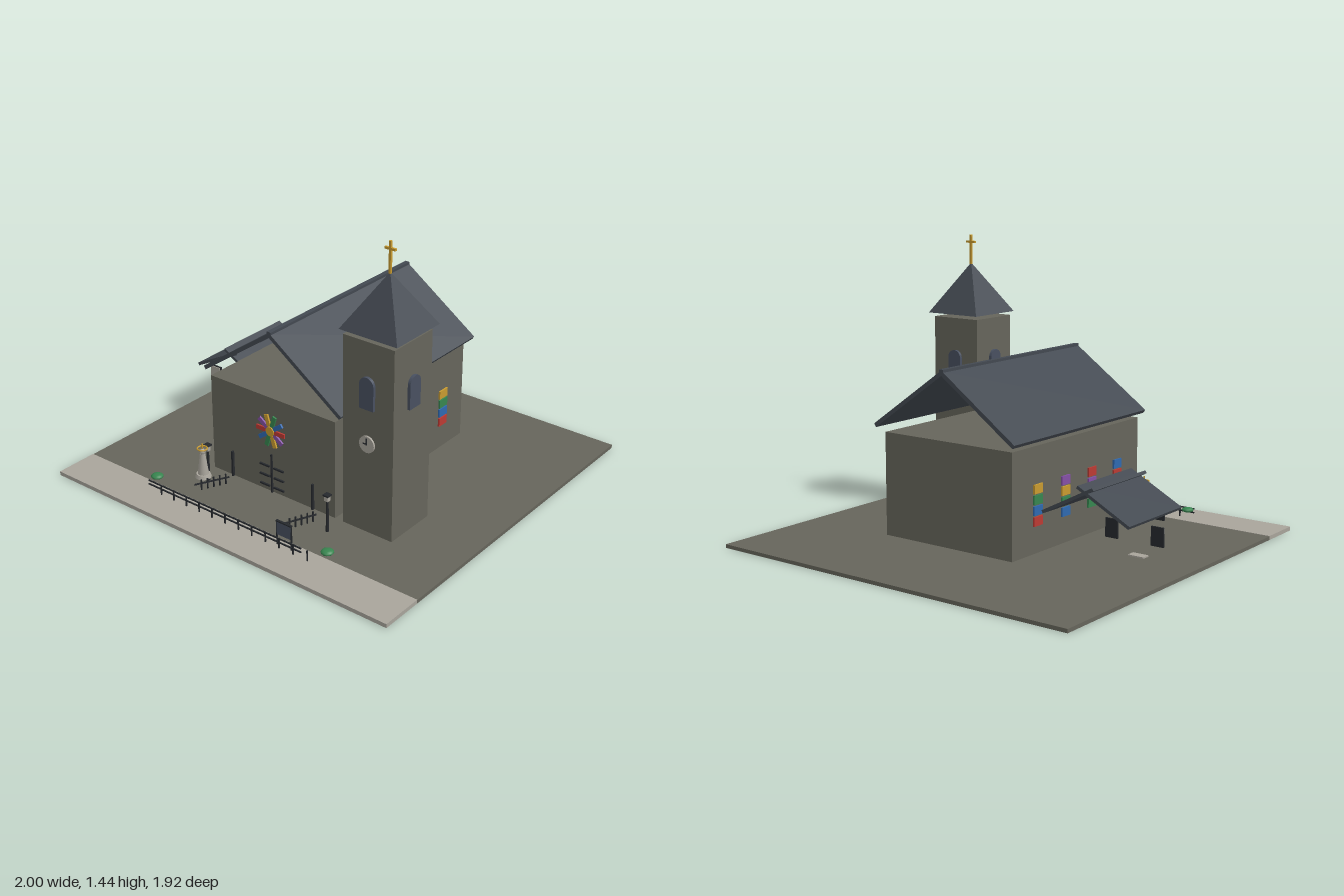
import * as THREE from 'three';

const mat = (name, color) => {
  const m = new THREE.MeshStandardMaterial({ color });
  m.name = name;
  return m;
};

export function createModel() {
  const stone = mat('stone', 0x66655b), slate = mat('slate', 0x434951);
  const pale = mat('paleStone', 0xa8a49b), iron = mat('iron', 0x26292d);
  const glass = mat('darkGlass', 0x485060), gold = mat('gold', 0xc89b30);
  const red = mat('red', 0xbb3a33), purple = mat('purple', 0x844fa5);
  const green = mat('green', 0x37854f), blue = mat('blue', 0x2f69b0);
  const stained = [red, purple, gold, green, blue];

  const model = new THREE.Group();
  const group = (name, x = 0, y = 0, z = 0, parent = model) => {
    const g = new THREE.Group();
    g.name = name;
    g.position.set(x, y, z);
    parent.add(g);
    return g;
  };
  const add = (parent, name, geo, material, x = 0, y = 0, z = 0) => {
    const m = new THREE.Mesh(geo, material);
    m.name = name;
    m.position.set(x, y, z);
    parent.add(m);
    return m;
  };
  const box = (parent, name, material, w, h, d, x, y, z) =>
    add(parent, name, new THREE.BoxGeometry(w, h, d), material, x, y, z);
  // sloping roof slab between two points of the front plane
  const slab = (parent, x0, y0, x1, y1, t, z0, z1) => {
    const len = Math.hypot(x1 - x0, y1 - y0);
    const m = box(parent, 'roofSlab', slate, len, t, z1 - z0, (x0 + x1) / 2, (y0 + y1) / 2, (z0 + z1) / 2);
    m.rotation.z = Math.atan2(y1 - y0, x1 - x0);
  };

  // ground and pavement
  box(model, 'ground', stone, 2, 0.018, 1.7, 0, 0.009, -0.11);
  box(model, 'pavement', pale, 2, 0.02, 0.22, 0, 0.01, 0.85);

  // nave with its roof
  const nave = group('nave');
  box(nave, 'naveWalls', stone, 0.75, 0.5, 1.02, 0, 0.32, 0.005);
  slab(nave, -0.408, 0.603, 0, 0.89, 0.02, -0.54, 0.522);
  slab(nave, 0, 0.89, 0.408, 0.603, 0.02, -0.54, 0.522);
  box(nave, 'ridgeCap', slate, 0.024, 0.024, 1.062, 0, 0.895, -0.009);

  // stained side windows, four panes each
  for (const side of [-1, 1]) {
    for (let i = 0; i < 4; i++) {
      for (let j = 0; j < 4; j++) {
        box(nave, 'stainedPane', stained[(i + j + 4) % 5], 0.009, 0.043, 0.064,
          side * 0.385, 0.374 - j * 0.05, 0.32 - i * 0.215);
      }
    }
  }

  // rose window
  const rose = group('roseWindow', 0, 0.4, 0.524, nave);
  for (let i = 0; i < 10; i++) {
    const a = -i * Math.PI / 5;
    const p = box(rose, 'petal', stained[i % 5], 0.06, 0.022, 0.009, Math.cos(a) * 0.055, Math.sin(a) * 0.055, 0);
    p.rotation.z = a;
  }
  const hub = add(rose, 'roseHub', new THREE.CylinderGeometry(0.024, 0.024, 0.012, 16), gold, 0, 0, 0.002);
  hub.rotation.x = Math.PI / 2;

  // door ironwork
  const door = group('doorIronwork', 0, 0, 0.522, nave);
  box(door, 'doorSeam', iron, 0.007, 0.205, 0.009, 0, 0.172, 0);
  for (const s of [-1, 1]) {
    for (const y of [0.1, 0.152, 0.205]) box(door, 'hingeStrap', iron, 0.06, 0.008, 0.009, s * 0.043, y, 0);
    box(door, 'doorSidePost', iron, 0.01, 0.135, 0.012, s * 0.247, 0.138, 0);
  }

  // bell tower
  const tower = group('bellTower', 0.558, 0, 0.377);
  box(tower, 'towerWalls', stone, 0.277, 0.95, 0.277, 0, 0.545, 0);
  const spire = add(tower, 'spire', new THREE.ConeGeometry(0.221, 0.255, 4).toNonIndexed(), slate, 0, 1.168, -0.01);
  spire.geometry.computeVertexNormals();
  spire.rotation.y = Math.PI / 4;
  box(tower, 'crossUpright', gold, 0.011, 0.15, 0.011, 0, 1.363, -0.01);
  box(tower, 'crossArm', gold, 0.056, 0.011, 0.011, 0, 1.402, -0.01);

  // arched belfry openings on all four sides
  const arch = new THREE.Shape();
  arch.moveTo(-0.039, 0);
  arch.lineTo(0.039, 0);
  arch.lineTo(0.039, 0.117);
  arch.absarc(0, 0.117, 0.039, 0, Math.PI, false);
  const archGeo = new THREE.ExtrudeGeometry(arch, { depth: 0.015, bevelEnabled: false, curveSegments: 8 });
  for (let i = 0; i < 4; i++) {
    const face = group('belfryOpening', 0, 0, 0, tower);
    face.rotation.y = i * Math.PI / 2;
    add(face, 'belfryWindow', archGeo, glass, 0, 0.7, 0.138);
  }

  // clock
  const clock = group('clock', 0, 0.525, 0.143, tower);
  add(clock, 'clockFace', new THREE.CylinderGeometry(0.041, 0.041, 0.009, 24), pale).rotation.x = Math.PI / 2;
  box(clock, 'minuteHand', iron, 0.005, 0.034, 0.004, 0, 0.015, 0.006);
  box(clock, 'hourHand', iron, 0.02, 0.005, 0.004, -0.008, 0.003, 0.006);

  // small house: crossing roof slabs, windows and doorstep
  const house = group('house', -0.675, 0, 0);
  for (const s of [-1, 1]) slab(house, s * 0.23, 0.286, -s * 0.042, 0.428, 0.015, -0.377, 0.055);
  for (const [x, y, h] of [[-0.125, 0.26, 0.074], [0, 0.26, 0.074], [0.125, 0.26, 0.074], [-0.125, 0.14, 0.088], [0.125, 0.14, 0.088]]) {
    box(house, 'windowFrame', iron, 0.068, h + 0.005, 0.009, x + 0.001, y, 0.032);
    box(house, 'windowPane', pale, 0.062, h - 0.002, 0.006, x, y, 0.038);
  }
  box(house, 'doorstep', pale, 0.085, 0.01, 0.045, 0, 0.02, 0.065);

  // sloping stair railings
  for (const s of [-1, 1]) {
    const railing = group('stairRailing', s * 0.272, 0, 0);
    const rail = box(railing, 'handrail', iron, 0.006, 0.007, 0.245, 0, 0.089, 0.645);
    rail.rotation.x = -0.28;
    for (let i = 0; i < 5; i++) {
      const z = 0.55 + i * 0.042;
      box(railing, 'railingPost', iron, 0.006, 0.055, 0.006, 0, 0.055 + (z - 0.55) * 0.28, z);
    }
  }

  // front fence
  const fence = group('fence', 0, 0, 0.805);
  for (const y of [0.05, 0.07]) box(fence, 'fenceRail', iron, 0.95, 0.006, 0.006, -0.063, y, 0);
  for (let i = 0; i < 12; i++) box(fence, 'picket', iron, 0.006, 0.055, 0.006, -0.455 + i * 0.082, 0.046, 0);

  // notice board
  const board = group('noticeBoard', 0.297, 0, 0.785);
  box(board, 'boardPanel', glass, 0.08, 0.068, 0.009, 0, 0.11, 0);
  box(board, 'boardTop', iron, 0.09, 0.006, 0.012, 0, 0.146, 0);
  for (const s of [-1, 1]) box(board, 'boardLeg', iron, 0.006, 0.125, 0.006, s * 0.042, 0.08, 0);

  // lamp posts
  for (const x of [-0.375, 0.365]) {
    const lamp = group('lampPost', x, 0, 0.56);
    add(lamp, 'lampPole', new THREE.CylinderGeometry(0.006, 0.008, 0.165, 8), iron, 0, 0.1, 0);
    box(lamp, 'lantern', pale, 0.02, 0.026, 0.02, 0, 0.194, 0);
    box(lamp, 'lanternCap', iron, 0.03, 0.008, 0.03, 0, 0.211, 0);
  }

  // statue on a pedestal
  const statue = group('statue', -0.355, 0, 0.617);
  add(statue, 'pedestal', new THREE.CylinderGeometry(0.034, 0.04, 0.018, 16), pale, 0, 0.08, 0);
  add(statue, 'robe', new THREE.CylinderGeometry(0.013, 0.027, 0.108, 16), pale, 0, 0.143, 0);
  add(statue, 'head', new THREE.SphereGeometry(0.015, 12, 8), pale, 0, 0.208, 0);
  add(statue, 'halo', new THREE.TorusGeometry(0.024, 0.004, 6, 20), gold, 0, 0.225, 0).rotation.x = Math.PI / 2;
  box(statue, 'statueCross', gold, 0.006, 0.03, 0.006, 0, 0.235, 0);

  // bushes
  green.flatShading = false;
  for (const x of [-0.528, 0.523]) {
    add(model, 'bush', new THREE.IcosahedronGeometry(0.031, 1), green, x, 0.074, 0.757).scale.y = 0.42;
  }

  return model;
}
